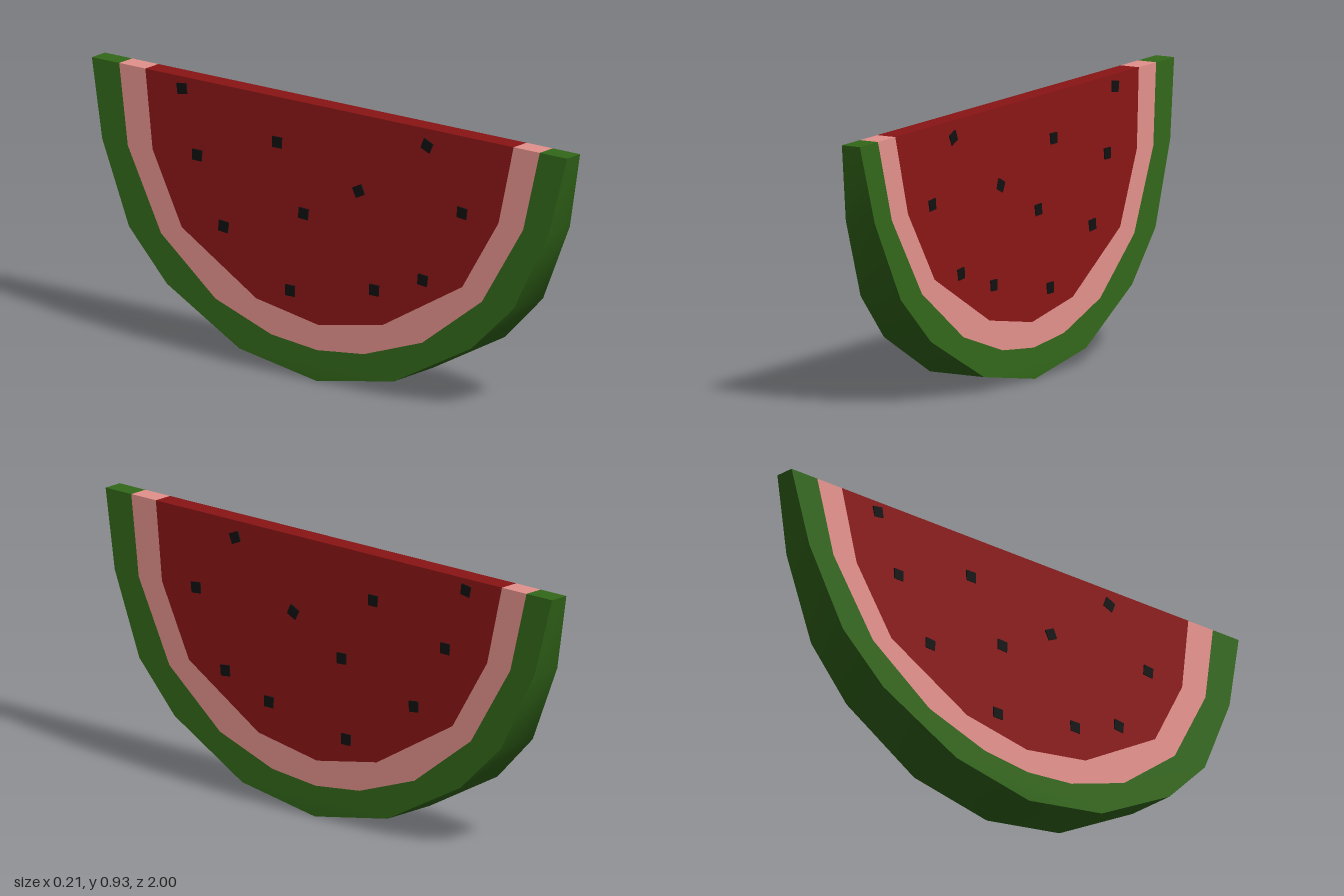
import * as THREE from 'three';
import { toCreasedNormals } from 'three/addons/utils/BufferGeometryUtils.js';

const TOP = 0.925;

// The wedge is thin at the cut top and thickens towards the rind
const halfWidth = (y) => Math.min(0.105, 0.035 + (TOP - y) * 0.08);

// Half outlines as [distance along z, y], from the cut top down to the middle
const rindEdge = [[1, TOP], [0.94, 0.66], [0.81, 0.385], [0.64, 0.22], [0.325, 0.055], [0, 0]];
const pithEdge = [[0.885, TOP], [0.832, 0.655], [0.675, 0.385], [0.435, 0.205], [0.195, 0.125], [0, 0.105]];
const fleshEdge = [[0.775, TOP], [0.728, 0.66], [0.59, 0.42], [0.265, 0.235], [0, 0.19]];

// Mirror a half outline into a full one
const full = (half) => [
  ...half.map(([u, y]) => [-u, y]),
  ...half.slice(0, -1).reverse(),
].map(([u, y]) => new THREE.Vector2(u, y));

// One layer of the slice, between an outer outline and an optional inner one
function layer(name, color, outer, inner) {
  const points = full(outer);
  if (inner) points.push(...full(inner).reverse());
  const geometry = new THREE.ExtrudeGeometry(new THREE.Shape(points), { depth: 2, bevelEnabled: false });
  geometry.translate(0, 0, -1).rotateY(Math.PI / 2);
  const p = geometry.attributes.position;
  for (let i = 0; i < p.count; i++) p.setX(i, p.getX(i) * halfWidth(p.getY(i)));
  const mesh = new THREE.Mesh(toCreasedNormals(geometry, 0.6), new THREE.MeshStandardMaterial({ color }));
  mesh.name = name;
  return mesh;
}

// Seeds as [z, y, turn]
const seedSpots = [
  [0.415, 0.868, 0.4], [0.575, 0.668, 0.1], [0.14, 0.668, -0.45], [-0.085, 0.553, 0.05],
  [-0.21, 0.773, 0], [-0.617, 0.885, -0.15], [-0.54, 0.673, 0], [-0.415, 0.453, 0.1],
  [-0.125, 0.286, 0], [0.225, 0.347, 0], [0.425, 0.415, 0.1],
];

export function createModel() {
  const model = new THREE.Group();
  model.name = 'watermelonSlice';
  model.add(
    layer('rind', 0x33681a, rindEdge, pithEdge),
    layer('pith', 0xe3918c, pithEdge, fleshEdge),
    layer('flesh', 0x8a1515, fleshEdge),
  );

  // Each seed runs through the flesh and stands slightly proud on both sides
  const seeds = new THREE.Group();
  seeds.name = 'seeds';
  const seedMaterial = new THREE.MeshStandardMaterial({ color: 0x111111 });
  for (const [z, y, turn] of seedSpots) {
    const width = 2 * (halfWidth(y) + 0.004);
    const seed = new THREE.Mesh(new THREE.BoxGeometry(width, 0.037, 0.04), seedMaterial);
    seed.name = 'seed';
    seed.position.set(0, y, z);
    seed.rotation.x = turn;
    seeds.add(seed);
  }
  model.add(seeds);
  return model;
}
